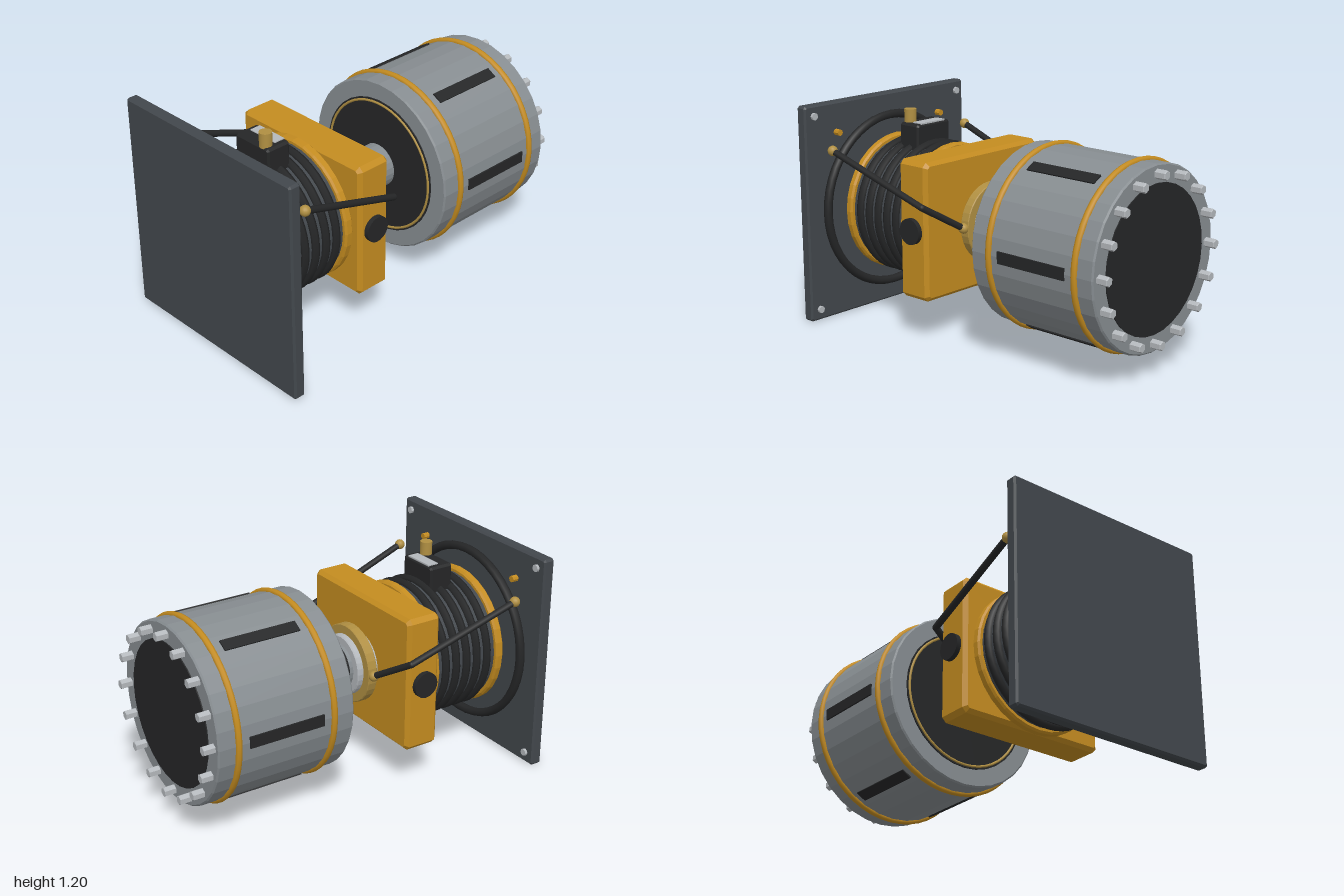
import * as THREE from 'three';
import { toCreasedNormals } from 'three/addons/utils/BufferGeometryUtils.js';

const CY = 0.602; // height of the main axis

function mat(name, color) {
  const m = new THREE.MeshStandardMaterial({ color });
  m.name = name;
  return m;
}

export function createModel() {
  const root = new THREE.Group();
  root.name = 'drumMotor';
  const slate = mat('slate', 0x42474c), black = mat('black', 0x252627);
  const gold = mat('gold', 0xc48c20), brass = mat('brass', 0xb08f42);
  const steel = mat('steel', 0x878d91), light = mat('lightSteel', 0xb4b8bc);

  const add = (name, geo, material, x = 0, y = CY, z = 0) => {
    const mesh = new THREE.Mesh(geo, material);
    mesh.name = name;
    mesh.position.set(x, y, z);
    root.add(mesh);
    return mesh;
  };

  // Chamfered disc along z from z0 to z1
  const disc = (name, material, r, z0, z1, c = 0, sides = 32, x = 0, y = CY) => {
    const pts = c > 0
      ? [[0, z0], [r - c, z0], [r, z0 + c], [r, z1 - c], [r - c, z1], [0, z1]]
      : [[0, z0], [r, z0], [r, z1], [0, z1]];
    let geo = new THREE.LatheGeometry(pts.map(p => new THREE.Vector2(...p)), sides).toNonIndexed();
    geo.computeVertexNormals();
    geo.rotateX(Math.PI / 2);
    return add(name, geo, material, x, y);
  };

  const ring = (name, material, R, tube, z, radial = 8) =>
    add(name, new THREE.TorusGeometry(R, tube, radial, 48), material, 0, CY, z);

  // Box with chamfered edges on every side
  const bevelBox = (w, h, d, b) => {
    const x = w / 2 - b, y = h / 2 - b, k = b * 0.6;
    const s = new THREE.Shape([[-x + k, -y], [x - k, -y], [x, -y + k], [x, y - k],
      [x - k, y], [-x + k, y], [-x, y - k], [-x, -y + k]].map(p => new THREE.Vector2(...p)));
    const geo = new THREE.ExtrudeGeometry(s, {
      depth: d - 2 * b, bevelEnabled: true, bevelSize: b, bevelThickness: b, bevelSegments: 1 });
    return geo.translate(0, 0, -d / 2 + b);
  };

  // Mounting plate with seal ring, corner bolts and locating pins
  add('mountingPlate', bevelBox(1.2, 1.2, 0.065, 0.01), slate, 0, 0.6, 0.9675);
  ring('plateSeal', black, 0.48, 0.024, 0.911);
  for (const sx of [-1, 1]) {
    for (const sy of [-1, 1])
      disc('cornerBolt', light, 0.02, 0.92, 0.94, 0, 8, sx * 0.54, 0.602 + sy * 0.54);
    disc('platePin', gold, 0.018, 0.9, 0.94, 0, 8, sx * 0.385, 1.035);
  }

  // Ribbed motor body between two flanges
  disc('frontFlange', gold, 0.385, 0.83, 0.877, 0.01);
  disc('rearFlange', gold, 0.385, 0.4, 0.45, 0.01);
  disc('motorBody', slate, 0.36, 0.44, 0.84);
  for (let i = 0; i < 5; i++) ring('coolingFin', black, 0.362, 0.024, 0.5 + i * 0.069, 6);

  // Terminal box with label and plug
  add('terminalBox', bevelBox(0.245, 0.18, 0.14, 0.01), black, 0, 0.99, 0.642);
  add('labelPlate', new THREE.BoxGeometry(0.18, 0.008, 0.062), light, 0, 1.081, 0.61);
  add('plug', new THREE.CylinderGeometry(0.033, 0.033, 0.08, 16), brass, 0.07, 1.112, 0.681);

  // Gearbox with side caps
  add('gearbox', bevelBox(0.865, 0.745, 0.2, 0.02), gold, 0, 0.604, 0.303);
  for (const s of [-1, 1]) {
    const geo = new THREE.CylinderGeometry(0.07, 0.07, 0.06, 24).rotateZ(Math.PI / 2);
    add('sideCap', geo, black, s * 0.428, 0.605, 0.303);
  }

  // Shaft, hub and collars
  disc('hub', light, 0.165, 0.08, 0.21, 0.006);
  disc('hubCollar', brass, 0.215, 0.113, 0.167, 0.004);
  disc('shaft', steel, 0.12, -0.18, 0.1, 0, 24);
  ring('shaftSeal', black, 0.123, 0.014, 0.04);

  // Drum with end discs, bands, slots and end bolts
  disc('drum', steel, 0.48, -0.938, -0.162, 0.008);
  disc('drumFrontDisc', black, 0.382, -0.17, -0.156);
  ring('drumFrontRing', brass, 0.366, 0.007, -0.156);
  disc('drumEndDisc', black, 0.385, -0.944, -0.93);
  for (const z of [-0.28, -0.826]) ring('drumBand', gold, 0.478, 0.018, z);
  for (let i = 0; i < 6; i++) {
    const a = i * Math.PI / 3;
    const slot = add('drumSlot', new THREE.BoxGeometry(0.024, 0.062, 0.425), black,
      0.474 * Math.cos(a), CY + 0.474 * Math.sin(a), -0.554);
    slot.rotation.z = a;
  }
  for (let i = 0; i < 16; i++) {
    const a = i * Math.PI / 8;
    disc('endBolt', light, 0.026, -1, -0.93, 0.004, 6, 0.43 * Math.cos(a), CY + 0.43 * Math.sin(a));
  }

  // Side cables with ball ends
  for (const s of [-1, 1]) {
    const pts = [[0.505, 0.965, 0.828], [0.462, 0.752, 0.2], [0.22, 0.606, 0.14]]
      .map(p => new THREE.Vector3(s * p[0], p[1], p[2]));
    for (let i = 0; i < 2; i++) {
      const geo = new THREE.TubeGeometry(new THREE.LineCurve3(pts[i], pts[i + 1]), 1, 0.018, 10);
      add('cable', geo, black, 0, 0, 0);
    }
    add('cableElbow', new THREE.SphereGeometry(0.018, 10, 8), black, ...pts[1].toArray());
    for (const p of [pts[0], pts[2]])
      add('cableBall', new THREE.SphereGeometry(0.028, 14, 10), brass, ...p.toArray());
  }

  // Keep edges of round caps sharp
  root.traverse(o => {
    if (o.name === 'plug' || o.name === 'sideCap') o.geometry = toCreasedNormals(o.geometry, 0.6);
  });
  return root;
}
